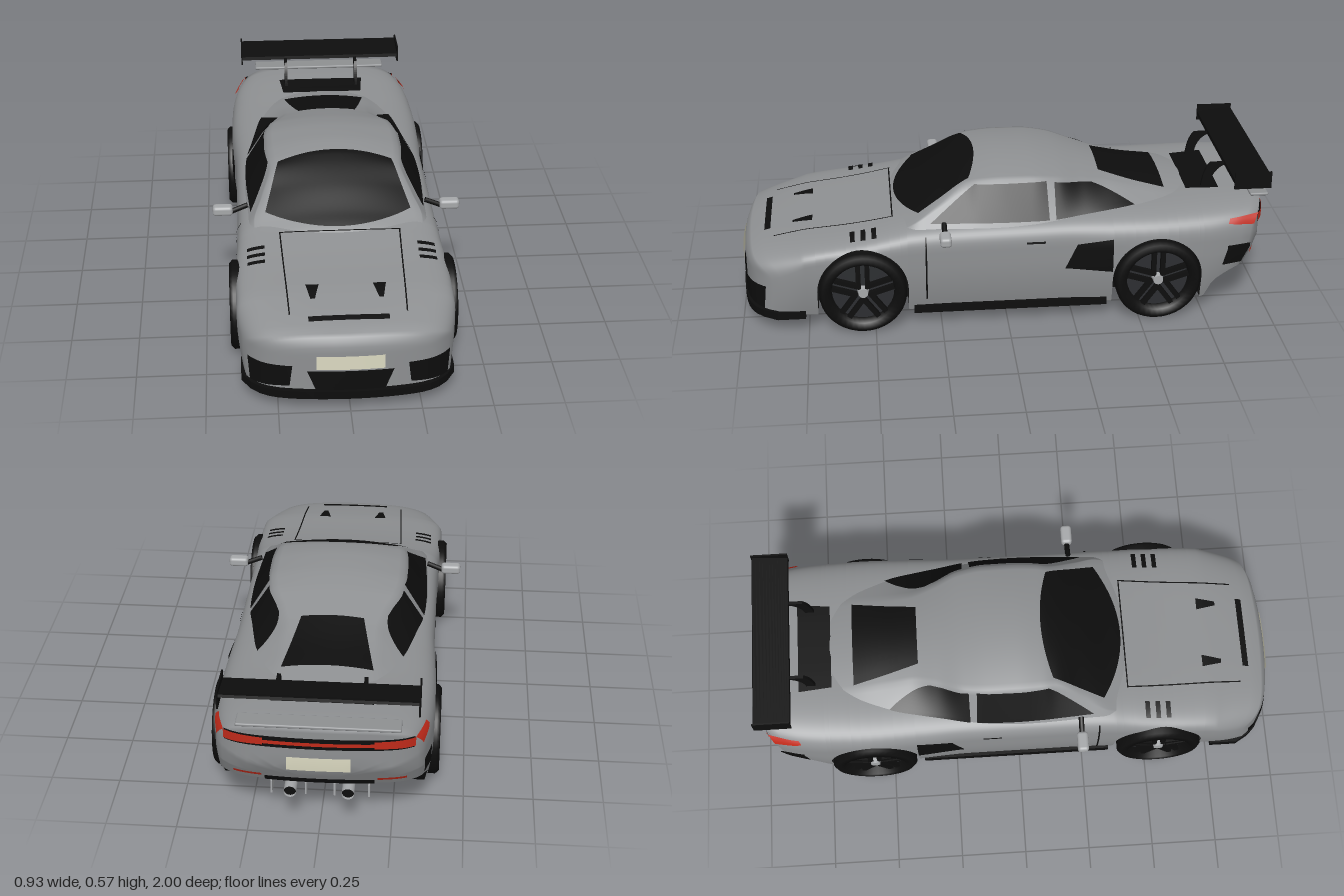
import * as THREE from 'three';
import { RoundedBoxGeometry } from 'three/addons/geometries/RoundedBoxGeometry.js';

const mat = (name, color) => new THREE.MeshStandardMaterial({ name, color, side: THREE.DoubleSide });
const { lerp, clamp } = THREE.MathUtils;

// Smooth lookup in rows of [z, value, value, ...]
function look(rows, z, c = 1) {
  z = clamp(z, rows[0][0], rows[rows.length - 1][0]);
  let i = 0;
  while (i < rows.length - 2 && z > rows[i + 1][0]) i++;
  const slope = (k) => {
    if (k <= 0 || k >= rows.length - 1) return (rows[i + 1][c] - rows[i][c]) / (rows[i + 1][0] - rows[i][0]);
    const a = (rows[k][c] - rows[k - 1][c]) / (rows[k][0] - rows[k - 1][0]);
    const b = (rows[k + 1][c] - rows[k][c]) / (rows[k + 1][0] - rows[k][0]);
    return a * b <= 0 ? 0 : (2 * a * b) / (a + b);
  };
  const h = rows[i + 1][0] - rows[i][0], s = (z - rows[i][0]) / h, s2 = s * s, s3 = s2 * s;
  return (2 * s3 - 3 * s2 + 1) * rows[i][c] + (s3 - 2 * s2 + s) * h * slope(i)
    + (3 * s2 - 2 * s3) * rows[i + 1][c] + (s3 - s2) * h * slope(i + 1);
}

// Lower body: z, half width, centre height, widest height, squareness
const BODY = [
  [-1, .355, .43, .25, 4.5], [-.9, .375, .432, .25, 4.5], [-.75, .385, .428, .25, 4.5], [-.57, .39, .422, .25, 4.5],
  [-.4, .385, .42, .25, 4.5], [-.2, .375, .415, .25, 5], [.2, .375, .408, .25, 5], [.34, .378, .402, .25, 5],
  [.42, .38, .387, .25, 5], [.5, .384, .372, .25, 5], [.6, .386, .357, .25, 5], [.8, .385, .336, .24, 4],
  [.92, .378, .318, .22, 3.4], [1, .365, .298, .2, 3]];
const SILL = [[-1, .185], [-.93, .16], [-.85, .13], [-.8, .09], [-.74, .062], [.7, .062], [.9, .075], [1, .088]];
// Cabin: z, base half width, base height, roof edge half width, roof edge height, centre height
const CABIN = [
  [-.8, .26, .36, .16, .395, .415], [-.68, .3, .38, .175, .42, .437], [-.6, .31, .385, .18, .434, .452],
  [-.5, .325, .385, .175, .452, .472], [-.4, .33, .38, .172, .477, .497], [-.3, .335, .37, .198, .503, .525],
  [-.2, .345, .36, .238, .525, .55], [-.1, .352, .36, .25, .535, .564], [0, .355, .36, .25, .536, .567],
  [.1, .355, .36, .245, .53, .556], [.14, .355, .36, .24, .522, .542], [.25, .352, .36, .275, .457, .488],
  [.35, .348, .36, .31, .397, .43], [.42, .34, .34, .31, .36, .392], [.46, .33, .32, .3, .34, .36]];
const ARCH_Z = [.543, -.567], ARCH_Y = .16, ARCH_R = .17;

const inArch = (t) => ARCH_Z.some((c) => Math.abs(t - c) <= ARCH_R);
function lowerEdge(t) {
  let y = look(SILL, t);
  for (const c of ARCH_Z) {
    const d = ARCH_R ** 2 - (t - c) ** 2;
    if (d >= -1e-9) y = ARCH_Y + Math.sqrt(Math.max(0, d));
  }
  return y;
}
// Curved ends: the last quarter of each end is stretched on to a bowed bumper surface
function endZ(s, x, y) {
  const ax = Math.abs(x);
  return s > 0
    ? .99 - .03 * (ax / .3) ** 2 - .08 * (ax / .37) ** 8 - 8 * Math.max(0, y - .24) ** 2
    : .99 - .02 * (ax / .3) ** 2 - .06 * (ax / .37) ** 8 - .5 * Math.max(0, .27 - y);
}
function warp(t, x, y) {
  const a = Math.abs(t), s = Math.sign(t);
  return a <= .75 ? t : s * (.75 + (a - .75) * 4 * (endZ(s, x, y) - .75));
}
function sideX(t, y) {
  const [w, yc, ym, n] = [1, 2, 3, 4].map((c) => look(BODY, t, c));
  if (y < ym) return w - .02 * ((ym - y) / .17) ** 2;
  return w * Math.max(0, 1 - Math.min(1, (y - ym) / (yc - ym)) ** n) ** (1 / n);
}
function topY(t, x) {
  const [w, yc, ym, n] = [1, 2, 3, 4].map((c) => look(BODY, t, c));
  return ym + (yc - ym) * Math.max(0, 1 - Math.min(1, Math.abs(x) / w) ** n) ** (1 / n);
}
function bodyPoint(t, v) {
  const a = 1 - Math.abs(v), yb = lowerEdge(t), [w, yc, ym, n] = [1, 2, 3, 4].map((c) => look(BODY, t, c));
  let x, y;
  if (a < .25) { y = lerp(yb, Math.max(yb, ym), a / .25); x = sideX(t, y); } else {
    const q = (a - .25) / .75 * Math.PI / 2;
    x = w * Math.max(0, Math.cos(q)) ** (2 / n);
    y = ym + (yc - ym) * Math.sin(q) ** (2 / n);
    if (y < yb) { y = yb; x = sideX(t, yb); }
  }
  return [x * Math.sign(v), y];
}
function cabinPoint(z, v) {
  const a = 1 - Math.abs(v), [xb, yb, xr, yr, yc] = [1, 2, 3, 4, 5].map((c) => look(CABIN, z, c));
  if (a < .4) return [lerp(xb, xr, a / .4) * Math.sign(v), lerp(yb, yr, a / .4), z];
  const k = 1 - (a - .4) / .6;
  return [xr * k * Math.sign(v), yr + (yc - yr) * (1 - k * k), z];
}

// Places a 2D point on a surface, slightly raised
const onDeck = (x, z) => {
  let t = z;
  const s = Math.sign(z);
  for (let i = 0; i < 4 && Math.abs(z) > .75; i++) t = s * (.75 + .25 * (Math.abs(z) - .75) / (endZ(s, x, topY(t, x)) - .75));
  return [x, topY(t, x) + .005, z];
};
const onSide = (lift) => (t, y) => { const x = sideX(t, y); return [x + lift, y, warp(t, x, y) + (t < -.8 ? -lift / 2 : 0)]; };
const onEnd = (s, lift) => (x, y) => [x, y, s * (endZ(s, x, y) + lift)];
const onRoof = (x, z) => {
  const [xr, yr, yc] = [3, 4, 5].map((c) => look(CABIN, z, c));
  return [x, yr + (yc - yr) * (1 - Math.min(1, Math.abs(x) / xr) ** 2) + .005, z];
};
const onCabinSide = (z, y) => {
  const [xb, yb, xr, yr] = [1, 2, 3, 4].map((c) => look(CABIN, z, c));
  const s = clamp((y - yb) / (yr - yb), 0, .97);
  return [lerp(xb, xr, s) + .005, lerp(yb, yr, s) + .004, z];
};

// Surface from a rule on a grid of rows and columns
function grid(fn, nu, nv) {
  const pos = [], idx = [];
  for (let i = 0; i <= nu; i++) for (let j = 0; j <= nv; j++) pos.push(...fn(i / nu, j / nv));
  for (let i = 0; i < nu; i++) for (let j = 0; j < nv; j++) {
    const a = i * (nv + 1) + j, b = a + nv + 1;
    idx.push(a, b, a + 1, b, b + 1, a + 1);
  }
  const g = new THREE.BufferGeometry();
  g.setAttribute('position', new THREE.Float32BufferAttribute(pos, 3));
  g.setIndex(idx);
  g.computeVertexNormals();
  return g;
}
// Four-cornered plate laid on a surface
const quad = (c, map, nu = 10, nv = 10) => grid((u, v) => map(
  lerp(lerp(c[0][0], c[1][0], u), lerp(c[3][0], c[2][0], u), v),
  lerp(lerp(c[0][1], c[1][1], u), lerp(c[3][1], c[2][1], u), v)), nu, nv);
const rect = (a0, b0, a1, b1) => [[a0, b0], [a1, b0], [a1, b1], [a0, b1]];

export function createModel() {
  const car = new THREE.Group();
  car.name = 'sportsCar';
  const grey = mat('bodyGrey', 0x8e9092), black = mat('trimBlack', 0x0d0d0d), dark = mat('rimDark', 0x2c2e31);
  const red = mat('lampRed', 0xc02a1a), cream = mat('plateCream', 0xdcdac2), light = mat('lightGrey', 0xa6a8aa);
  const add = (name, geo, m, parent = car) => {
    const o = new THREE.Mesh(geo, m);
    o.name = name;
    parent.add(o);
    return o;
  };
  const pair = (name, geo, m) => { add(name + 'Left', geo, m); add(name + 'Right', geo, m).scale.x = -1; };
  const box = (w, h, d, x, y, z) => new THREE.BoxGeometry(w, h, d).translate(x, y, z);

  // Body shell with wheel arches and bowed ends
  const ts = [];
  for (let i = 0; i <= 50; i++) ts.push(-1 + i * .04);
  for (const c of ARCH_Z) {
    for (let i = 0; i <= 28; i++) ts.push(c + ARCH_R * .99999 * Math.cos(i / 28 * Math.PI));
    ts.push(c - ARCH_R - 1e-4, c + ARCH_R + 1e-4);
  }
  ts.sort((a, b) => a - b);
  const ks = [0, .15, .3, .45, .6, .7, .8, .88, .95];
  const rows = [...ks.map((k) => [-1, k]), ...ts.map((t) => [t, 1]), ...ks.slice().reverse().map((k) => [1, k])];
  add('bodyShell', grid((u, v) => {
    const [t, k] = rows[Math.round(u * (rows.length - 1))], yb = lowerEdge(t);
    let [x, y] = bodyPoint(t, v * 2 - 1);
    x *= k; y = yb + (y - yb) * k;
    return [x, y, warp(t, x, y)];
  }, rows.length - 1, 56), grey);

  // Underside
  add('floor', grid((u, v) => {
    const t = ts[Math.round(u * (ts.length - 1))], y = look(SILL, t) + .002;
    const x = (v * 2 - 1) * (inArch(t) ? .26 : sideX(t, y) - .003);
    return [x, y, warp(t, x, y)];
  }, ts.length - 1, 12), black);
  add('chassisTub', box(.52, .23, 1.46, 0, .182, -.012), black);
  pair('sideSkirt', box(.06, .03, .73, .338, .066, -.012), black);
  for (const z of ARCH_Z) pair('wheelWell', new THREE.CylinderGeometry(.169, .169, .105, 28, 1, true, 0, Math.PI)
    .rotateZ(Math.PI / 2).translate(.308, ARCH_Y, z), black);

  // Cabin
  add('cabinShell', grid((u, v) => cabinPoint(lerp(-.8, .46, u), v * 2 - 1), 84, 40), grey);
  add('windscreen', grid((u, v) => {
    const k = u * 2 - 1;
    return onRoof(k * lerp(.27, .215, v), lerp(.412 - .085 * k * k, .1 + .035 * k * k, v));
  }, 20, 24), black);
  add('rearWindow', quad([[-.165, -.62], [.165, -.62], [.115, -.37], [-.115, -.37]], onRoof), black);
  pair('doorWindow', quad([[.285, .398], [-.16, .395], [-.155, .522], [.115, .52]], onCabinSide, 24, 10), black);
  pair('quarterWindow', quad([[-.185, .395], [-.49, .415], [-.33, .488], [-.185, .515]], onCabinSide, 20, 10), black);

  // Bonnet and deck details
  add('noseSlot', quad(rect(-.14, .885, .14, .908), onDeck, 16, 2), black);
  pair('bonnetScoop', quad([[.095, .725], [.142, .725], [.128, .8], [.112, .8]], onDeck), black);
  pair('bonnetSeam', quad([[.218, .42], [.223, .42], [.206, .87], [.201, .87]], onDeck, 1, 24), black);
  add('bonnetRearSeam', quad(rect(-.22, .421, .22, .426), onDeck, 16, 1), black);
  for (const z of [.495, .535, .575]) pair('wingLouvre', quad(rect(.278, z - .009, .342, z + .009), onDeck, 8, 2), black);
  add('engineGrille', quad([[-.178, -.83], [.178, -.83], [.165, -.705], [-.165, -.705]], onDeck), black);

  // Sides
  pair('sideIntake', quad([[-.215, .22], [-.395, .2], [-.395, .335], [-.26, .318]], onSide(.005)), black);
  pair('doorSeam', quad(rect(.302, .11, .308, .365), onSide(.004), 1, 12), black);
  pair('doorHandle', quad(rect(-.07, .326, -.14, .334), onSide(.004), 4, 1), black);
  pair('mirrorHousing', new RoundedBoxGeometry(.075, .037, .042, 3, .012).translate(.428, .387, .235), light);
  pair('mirrorArm', new THREE.TubeGeometry(new THREE.LineCurve3(
    new THREE.Vector3(.335, .405, .235), new THREE.Vector3(.4, .378, .235)), 1, .01, 8), black);

  // Front end
  add('frontIntake', quad([[-.12, .088], [.12, .088], [.15, .165], [-.15, .165]], onEnd(1, .006), 14, 6), black);
  pair('cornerIntake', quad([[.21, .105], [.345, .092], [.352, .185], [.2, .185]], onEnd(1, .007), 20, 6), black);
  add('frontPlate', quad(rect(-.118, .172, .118, .226), onEnd(1, .008), 10, 2), cream);
  const lip = new THREE.Shape();
  lip.moveTo(-.375, .76);
  for (let i = 0; i <= 24; i++) { const x = -.375 + i * .03125; lip.lineTo(x, endZ(1, x, .1) + .01); }
  lip.lineTo(.375, .76);
  add('frontSplitter', new THREE.ExtrudeGeometry(lip, { depth: .03, bevelEnabled: false })
    .rotateX(Math.PI / 2).translate(0, .082, 0), black);

  // Rear end
  add('lampBand', quad(rect(-.325, .355, .325, .398), onEnd(-1, .006), 24, 3), black);
  add('lampStrip', quad(rect(-.2, .369, .2, .383), onEnd(-1, .009), 16, 2), red);
  pair('rearLamp', quad([[.19, .364], [.328, .36], [.328, .395], [.19, .392]], onEnd(-1, .009), 12, 3), red);
  pair('lampSide', quad([[-1, .36], [-.87, .372], [-.87, .388], [-1, .395]], onSide(.008), 8, 3), red);
  pair('cornerVent', quad(rect(-1, .205, -.89, .285), onSide(.005), 8, 5), black);
  pair('rearReflector', quad(rect(.2, .212, .3, .224), onEnd(-1, .006), 8, 1), red);
  add('rearPlate', quad(rect(-.11, .265, .11, .32), onEnd(-1, .008), 8, 2), cream);
  add('rearOpening', quad(rect(-.19, .187, .19, .212), onEnd(-1, .006), 12, 2), black);
  for (const x of [.05, .17]) pair('diffuserFin', box(.006, .05, .12, x, .145, -.875), light);
  pair('exhaustPipe', new THREE.CylinderGeometry(.022, .022, .1, 20, 1, true).rotateX(Math.PI / 2).translate(.1, .165, -.935), light);
  pair('exhaustBore', new THREE.CircleGeometry(.021, 20).translate(.1, .165, -.975), black);
  add('tailLip', new RoundedBoxGeometry(.56, .012, .07, 2, .005).translate(0, .445, -.965), grey);

  // Rear wing
  const foil = new THREE.Shape();
  foil.moveTo(.85, .522);
  foil.quadraticCurveTo(.9, .518, .988, .545);
  foil.lineTo(.985, .555);
  foil.quadraticCurveTo(.9, .542, .852, .536);
  add('wingBlade', new THREE.ExtrudeGeometry(foil, { depth: .67, bevelEnabled: false })
    .rotateY(Math.PI / 2).translate(-.335, 0, 0), black);
  pair('wingEndPlate', box(.006, .066, .14, .338, .533, -.92), black);
  const strut = new THREE.Shape();
  strut.moveTo(.765, .42);
  strut.quadraticCurveTo(.77, .5, .8, .528);
  strut.lineTo(.88, .528);
  strut.quadraticCurveTo(.8, .51, .8, .42);
  pair('wingStrut', new THREE.ExtrudeGeometry(strut, { depth: .012, bevelEnabled: false })
    .rotateY(Math.PI / 2).translate(.144, 0, 0), black);

  // Wheels
  const tyre = new THREE.LatheGeometry([[.115, -.065], [.15, -.065], [.163, -.052], [.163, .052], [.15, .065], [.122, .065], [.116, .03]]
    .map(([r, y]) => new THREE.Vector2(r, y)), 40).rotateZ(-Math.PI / 2);
  ARCH_Z.forEach((z, i) => [1, -1].forEach((s) => {
    const w = new THREE.Group();
    w.name = (i ? 'rear' : 'front') + 'Wheel' + (s > 0 ? 'Left' : 'Right');
    add('tyre', tyre, black, w);
    add('rimDisc', new THREE.CylinderGeometry(.117, .117, .06, 32).rotateZ(Math.PI / 2), dark, w);
    for (let k = 0; k < 5; k++) {
      for (const o of [-.017, .017]) add('spoke', box(.018, .1, .018, .042, .066, o).rotateX(k * Math.PI * .4), black, w);
    }
    add('hub', new THREE.CylinderGeometry(.018, .022, .026, 16).rotateZ(-Math.PI / 2).translate(.045, 0, 0), light, w);
    w.position.set(s * .344, .163, z);
    w.scale.x = s;
    car.add(w);
  }));
  return car;
}
